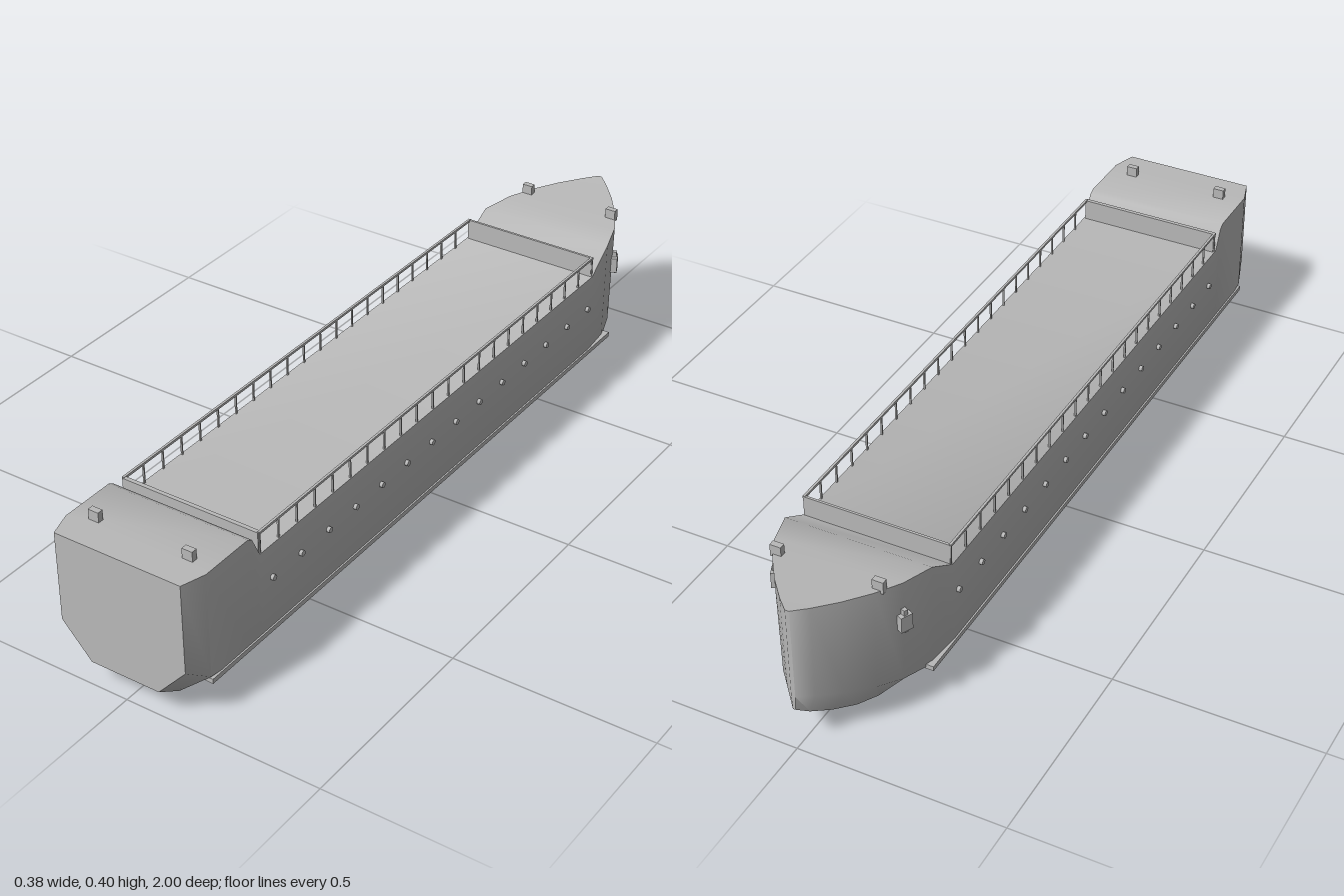
import * as THREE from 'three';
import { toCreasedNormals } from 'three/addons/utils/BufferGeometryUtils.js';

const grey = new THREE.MeshStandardMaterial({ color: 0xb8b8b8 });
grey.name = 'hull grey';

// Hull stations, stern to bow: z, keel half-width, keel y, chine half-width, chine y, deck half-width, deck y
const STATIONS = [
  [1, 0.09, 0.062, 0.165, 0.145, 0.165, 0.37],
  [0.94, 0.096, 0.027, 0.184, 0.105, 0.184, 0.37],
  [0.8, 0.102, 0.001, 0.184, 0.085, 0.184, 0.37],
  [0.785, 0.102, 0, 0.184, 0.085, 0.184, 0.362],
  [0.76, 0.102, 0, 0.184, 0.085, 0.184, 0.31],
  [-0.64, 0.102, 0, 0.184, 0.085, 0.184, 0.31],
  [-0.72, 0.096, 0.009, 0.176, 0.09, 0.18, 0.36],
  [-0.8, 0.084, 0.022, 0.15, 0.1, 0.156, 0.368],
  [-0.86, 0.066, 0.038, 0.117, 0.111, 0.123, 0.373],
  [-0.92, 0.042, 0.063, 0.076, 0.126, 0.08, 0.378],
  [-0.97, 0.019, 0.09, 0.034, 0.141, 0.036, 0.382],
  [-1, 0.003, 0.113, 0.005, 0.15, 0.005, 0.385],
];

// Six-cornered sections skinned from stern to bow and capped
function hullGeometry() {
  const pos = [], idx = [], n = 6;
  for (const [z, b, yb, c, yc, t, yt] of STATIONS) {
    pos.push(-b, yb, z, b, yb, z, c, yc, z, t, yt, z, -t, yt, z, -c, yc, z);
  }
  const last = (STATIONS.length - 1) * n;
  for (let i = 0; i < last; i += n) {
    for (let j = 0; j < n; j++) {
      const a = i + j, b = i + (j + 1) % n;
      idx.push(a, a + n, b, b, a + n, b + n);
    }
  }
  for (let j = 1; j < n - 1; j++) {
    idx.push(0, j, j + 1, last, last + j + 1, last + j);
  }
  const g = new THREE.BufferGeometry();
  g.setAttribute('position', new THREE.Float32BufferAttribute(pos, 3));
  g.setIndex(idx);
  return toCreasedNormals(g, 0.85);
}

export function createModel() {
  const model = new THREE.Group();
  model.name = 'cargoShip';

  const add = (name, geometry, x, y, z, parent = model) => {
    const mesh = new THREE.Mesh(geometry, grey);
    mesh.name = name;
    mesh.position.set(x, y, z);
    parent.add(mesh);
    return mesh;
  };
  const box = (name, w, h, d, x, y, z, parent) =>
    add(name, new THREE.BoxGeometry(w, h, d), x, y, z, parent);

  add('hull', hullGeometry(), 0, 0, 0);

  // Bulkheads closing the cargo deck
  box('sternBulkhead', 0.36, 0.056, 0.01, 0, 0.335, 0.755);
  box('bowBulkhead', 0.36, 0.056, 0.006, 0, 0.335, -0.641);

  const portholeShape = new THREE.CylinderGeometry(0.007, 0.007, 0.014, 10).rotateZ(Math.PI / 2);
  const POSTS = 22, PORTHOLES = 14;

  for (const side of [-1, 1]) {
    const name = side > 0 ? 'left' : 'right';

    // Handrail with evenly spaced posts
    const railing = new THREE.Group();
    railing.name = name + 'Railing';
    model.add(railing);
    box('handrail', 0.006, 0.006, 1.4, side * 0.18, 0.361, 0.057, railing);
    for (let i = 0; i < POSTS; i++) {
      box('railPost', 0.004, 0.053, 0.004, side * 0.18, 0.335, 0.755 - i * 1.396 / (POSTS - 1), railing);
    }

    // Portholes along the side
    for (let i = 0; i < PORTHOLES; i++) {
      add(name + 'Porthole', portholeShape, side * 0.185, 0.227, 0.72 - i * 0.103);
    }

    // Rubbing strake just above the chine
    box(name + 'RubbingStrake', 0.02, 0.012, 1.68, side * 0.178, 0.094, 0.1);

    // Mooring bollards fore and aft
    for (const z of [0.915, -0.84]) {
      box(name + 'Bollard', 0.027, 0.03, 0.015, side * 0.123, 0.38, z);
    }

    // Anchor hung on the bow flank
    const anchor = new THREE.Group();
    anchor.name = name + 'Anchor';
    anchor.position.set(side * 0.157, 0.27, -0.802);
    anchor.rotation.y = side * 0.42;
    box('anchorShank', 0.014, 0.06, 0.01, 0, 0, 0, anchor);
    box('anchorCrown', 0.02, 0.04, 0.03, 0, -0.004, 0, anchor);
    model.add(anchor);
  }
  return model;
}
